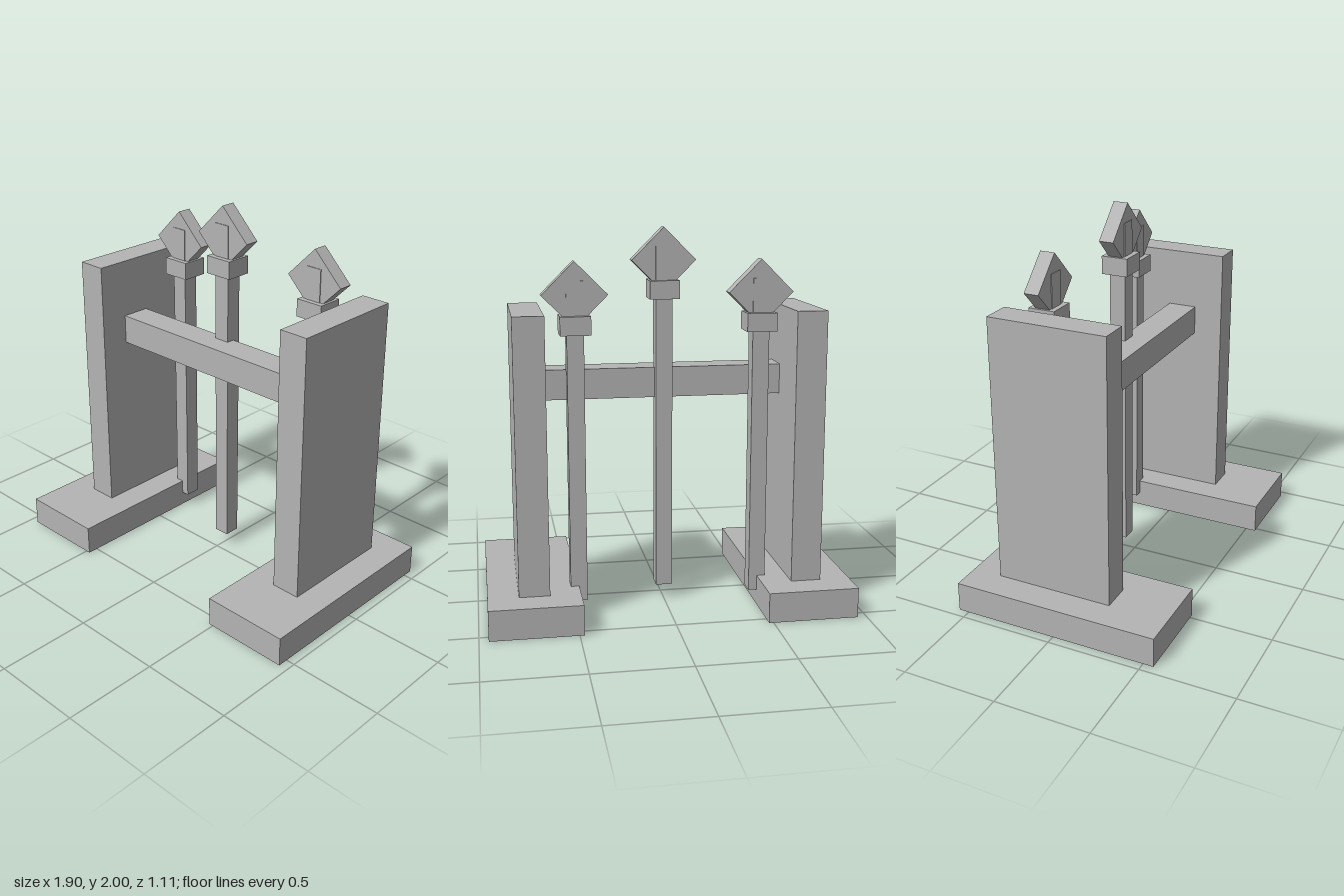
import * as THREE from 'three';

export function createModel() {
  const model = new THREE.Group();
  model.name = 'gateWithLances';
  const grey = new THREE.MeshStandardMaterial({ color: 0xb4b4b4 });
  grey.name = 'plain grey';

  // Box given by its centre and size
  function box(parent, name, [w, h, d], [x, y, z]) {
    const mesh = new THREE.Mesh(new THREE.BoxGeometry(w, h, d), grey);
    mesh.name = name;
    mesh.position.set(x, y, z);
    parent.add(mesh);
    return mesh;
  }

  // Lance: square shaft, collar and diamond head; the shaft ends inside the head
  function lance(name, x, z, lift) {
    const group = new THREE.Group();
    group.name = name;
    group.position.set(x, 0, z);
    const bottom = 0.08, top = 1.746 + lift;
    box(group, 'shaft', [0.087, top - bottom, 0.087], [0, (top + bottom) / 2, 0]);
    box(group, 'collar', [0.156, 0.095, 0.143], [0, 1.524 + lift, 0]);
    const head = box(group, 'diamondHead', [0.237, 0.237, 0.079], [0, 1.675 + lift, 0]);
    head.rotation.z = Math.PI / 4;
    model.add(group);
  }

  // Mirrored footings, slab pillars and outer lances
  for (const [side, s] of [['left', 1], ['right', -1]]) {
    box(model, side + 'Footing', [0.476, 0.159, 1.111], [s * 0.714, 0.0795, 0]);
    box(model, side + 'Pillar', [0.159, 1.429, 0.635], [s * 0.714, 0.8735, -0.079]);
    lance(side + 'Lance', s * 0.476, -0.238, 0);
  }

  // Crossbeam and the taller middle lance
  box(model, 'crossbeam', [1.27, 0.159, 0.159], [0, 1.191, 0]);
  lance('middleLance', 0, -0.079, 0.157);

  return model;
}
